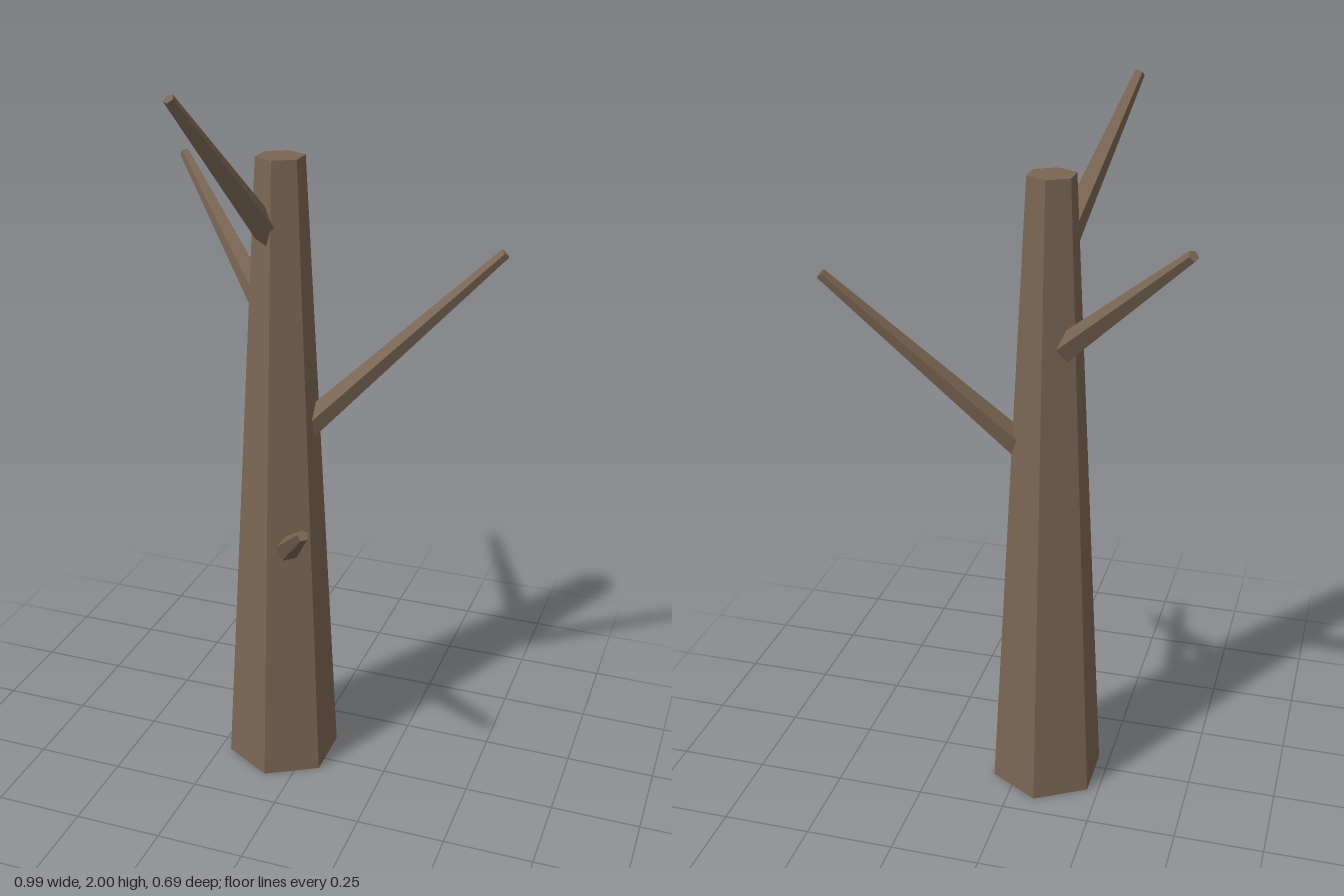
import * as THREE from 'three';

const bark = new THREE.MeshStandardMaterial({ color: 0x7a6653, flatShading: true });
const HEIGHT = 1.8;
const AXIS = new THREE.Vector3(-0.077, 0, -0.03);

// Tapered five-sided limb running from the trunk's axis out to its tip
function makeBranch(name, startY, tip) {
  const start = new THREE.Vector3(AXIS.x, startY, AXIS.z);
  const end = new THREE.Vector3(...tip);
  const along = end.clone().sub(start);
  const geometry = new THREE.CylinderGeometry(0.015, 0.041, along.length(), 5);
  const branch = new THREE.Mesh(geometry, bark);
  branch.name = name;
  branch.position.copy(start).add(end).multiplyScalar(0.5);
  branch.quaternion.setFromUnitVectors(new THREE.Vector3(0, 1, 0), along.normalize());
  return branch;
}

export function createModel() {
  const tree = new THREE.Group();
  tree.name = 'bareTree';

  // Six-sided tapered trunk with a flat sawn top
  const trunk = new THREE.Mesh(new THREE.CylinderGeometry(0.066, 0.163, HEIGHT, 6), bark);
  trunk.name = 'trunk';
  trunk.position.set(AXIS.x, HEIGHT / 2, AXIS.z);
  tree.add(trunk);

  // Bare branches, lowest first
  tree.add(
    makeBranch('lowerFrontBranch', 0.655, [0.118, 0.92, 0.335]),
    makeBranch('leftBranch', 0.985, [0.483, 1.55, -0.205]),
    makeBranch('rightBackBranch', 1.307, [-0.485, 1.715, -0.335]),
    makeBranch('upperFrontBranch', 1.55, [-0.225, 1.992, 0.31])
  );
  return tree;
}
